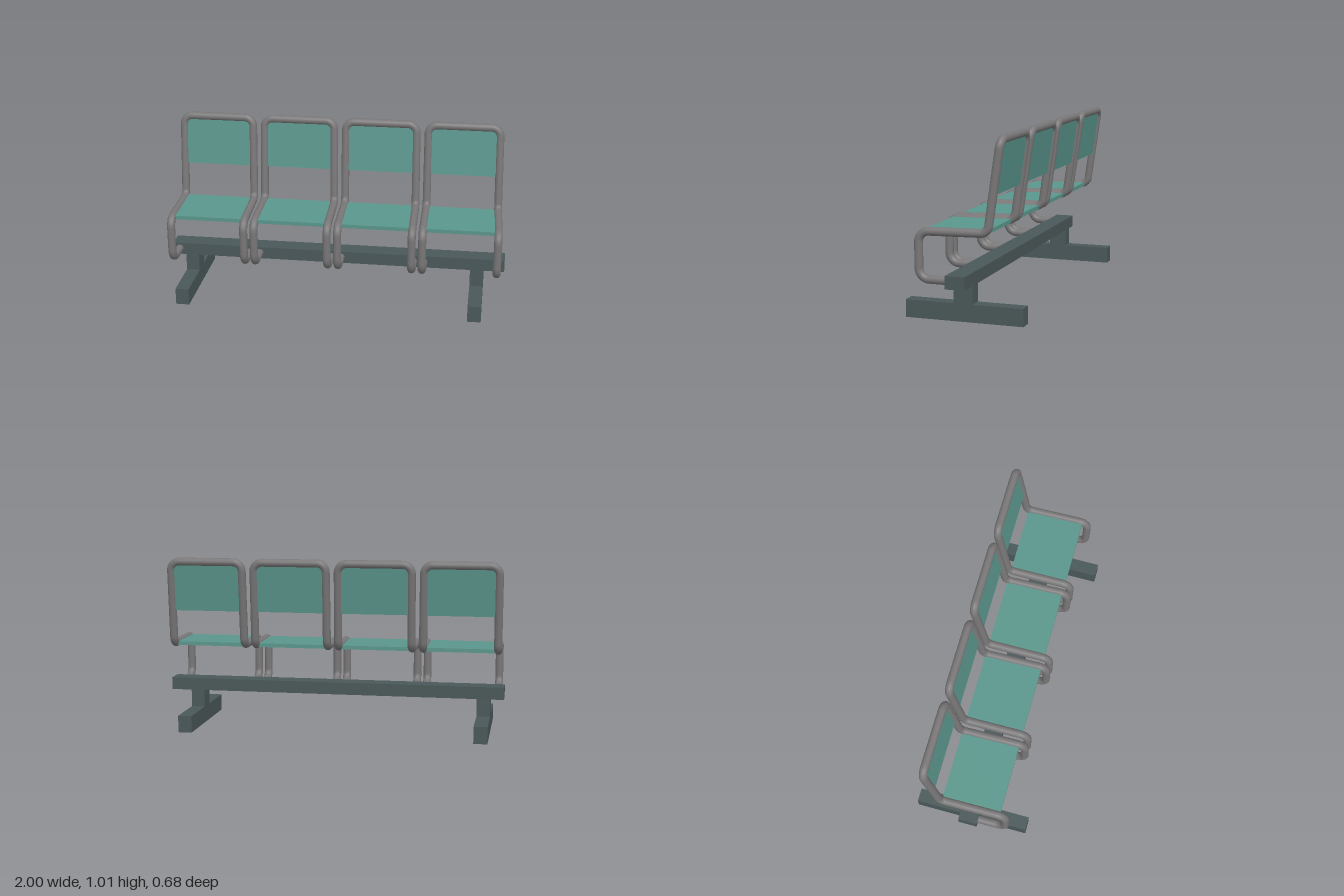
import * as THREE from 'three';

const V = (x, y, z) => new THREE.Vector3(x, y, z);
const frameMat = new THREE.MeshStandardMaterial({ color: 0x787676 });
const panelMat = new THREE.MeshStandardMaterial({ color: 0x5a968c });
const baseMat = new THREE.MeshStandardMaterial({ color: 0x4a5859 });

function box(name, mat, w, h, d, x, y, z) {
  const mesh = new THREE.Mesh(new THREE.BoxGeometry(w, h, d), mat);
  mesh.name = name;
  mesh.position.set(x, y, z);
  return mesh;
}

// Straight runs joined by rounded bends; bends[i] is the length cut at point i
function bentPath(points, bends) {
  const path = new THREE.CurvePath();
  let from = points[0];
  for (let i = 1; i < points.length - 1; i++) {
    const p = points[i];
    const toward = (q, d) => p.clone().add(q.clone().sub(p).setLength(d));
    const a = toward(points[i - 1], bends[i]);
    const b = toward(points[i + 1], bends[i]);
    path.add(new THREE.LineCurve3(from, a));
    path.add(new THREE.CubicBezierCurve3(a, a.clone().lerp(p, 0.55), b.clone().lerp(p, 0.55), b));
    from = b;
  }
  path.add(new THREE.LineCurve3(from, points[points.length - 1]));
  return path;
}

function createSeat() {
  const seat = new THREE.Group();

  // One continuous tube: up the right side, across the top, down the left side
  const side = (x, shift) => [
    V(x + shift, 0.237, 0.02),
    V(x + shift, 0.237, 0.219),
    V(x + shift, 0.494, 0.219),
    V(x + shift / 2, 0.5, -0.166),
    V(x, 0.991, -0.234),
  ];
  const bends = [0, 0.06, 0.055, 0.04, 0.05];
  const path = bentPath(
    [...side(-0.211, 0.008), ...side(0.211, 0.018).reverse()],
    [...bends, ...[...bends].reverse()]
  );
  const tube = new THREE.Mesh(new THREE.TubeGeometry(path, 260, 0.0235, 14, false), frameMat);
  tube.name = 'tubeFrame';
  seat.add(tube);

  // Flat panels held between the tubes
  const cushion = box('seatPanel', panelMat, 0.405, 0.022, 0.34, 0.005, 0.496, 0.018);
  cushion.rotation.x = 0.015;
  const back = box('backPanel', panelMat, 0.395, 0.28, 0.02, 0.001, 0.842, -0.2135);
  back.rotation.x = -0.138;
  seat.add(cushion, back);
  return seat;
}

export function createModel() {
  const model = new THREE.Group();
  model.name = 'beamSeating';

  // Shared beam on two T-shaped feet
  model.add(box('beam', baseMat, 1.995, 0.072, 0.11, 0, 0.236, 0));
  [[-0.88, 'right'], [0.837, 'left']].forEach(([x, label]) => {
    model.add(box(label + 'Post', baseMat, 0.079, 0.102, 0.11, x, 0.149, 0));
    model.add(box(label + 'Foot', baseMat, 0.079, 0.098, 0.671, x, 0.049, -0.003));
  });

  // Row of four seats
  for (let i = 0; i < 4; i++) {
    const seat = createSeat();
    seat.name = 'seat' + (i + 1);
    seat.position.x = -0.755 + 0.493 * i;
    model.add(seat);
  }

  // The whole row stands very slightly turned
  model.rotation.y = -0.007;
  return model;
}
